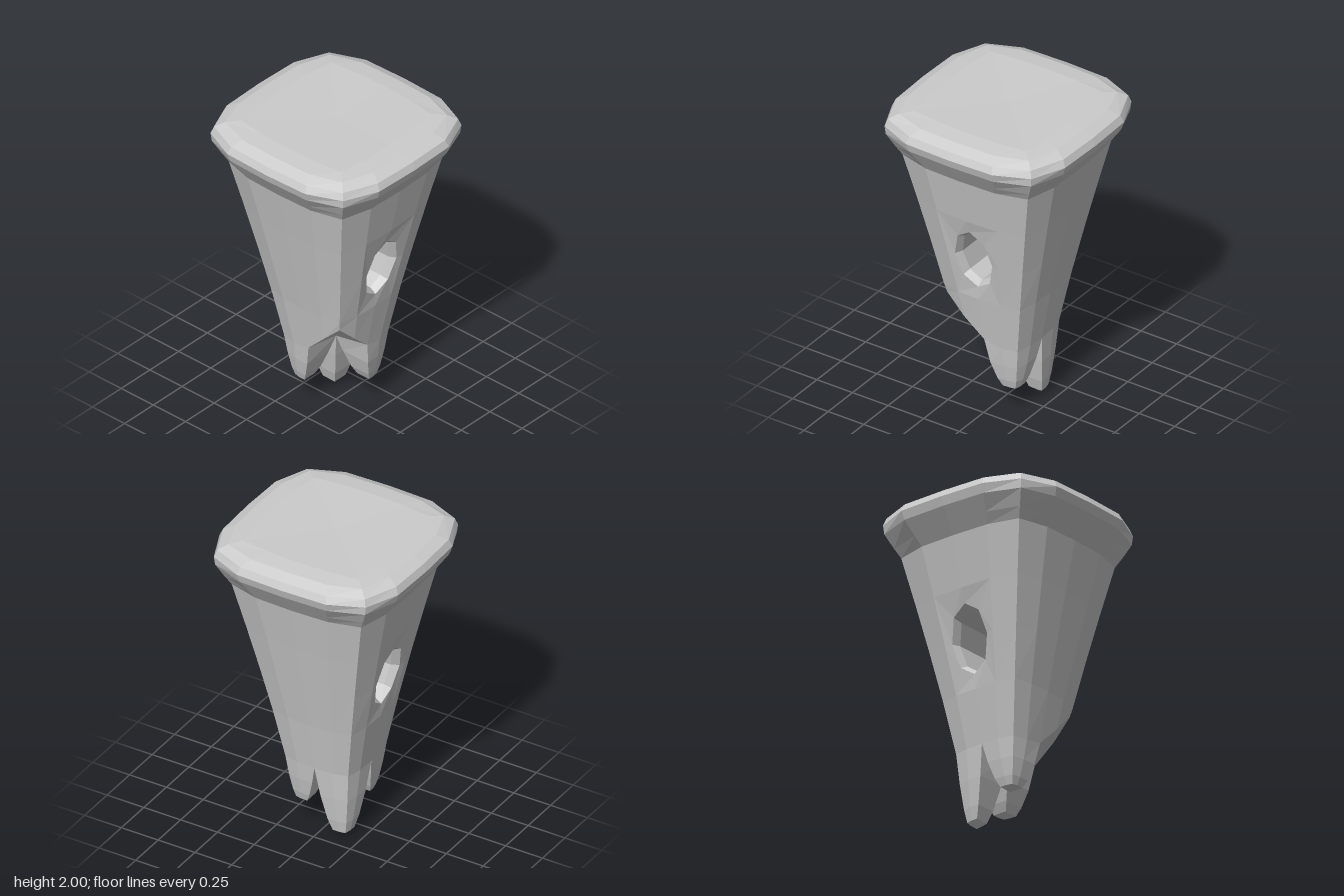
import * as THREE from 'three';

const V = (x, y, z) => new THREE.Vector3(x, y, z);

// Collects triangles and quads into one flat-shaded mesh
class Faces {
  constructor(name) { this.name = name; this.pts = []; }
  tri(a, b, c) { this.pts.push(a, b, c); }
  quad(a, b, c, d) { this.tri(a, b, c); this.tri(a, c, d); }
  // Wall between two closed loops, lower and upper, counterclockwise from above
  band(lo, hi, skip = []) {
    lo.forEach((p, i) => {
      const j = (i + 1) % lo.length;
      if (!skip.includes(i)) this.quad(p, lo[j], hi[j], hi[i]);
    });
  }
  mesh() {
    const g = new THREE.BufferGeometry().setFromPoints(this.pts);
    g.computeVertexNormals();
    const m = new THREE.Mesh(g, new THREE.MeshStandardMaterial({ color: 0xcccccc, flatShading: true }));
    m.name = this.name;
    return m;
  }
}

// Point i of 16 on a bulging square of half width w; 0 is front middle, then towards +x
function ringPoint(i, y, w, k) {
  const j = i % 4;
  let [x, z] = [[0, w], [0.49 * w, 0.985 * w], [k * w, k * w], [0.985 * w, 0.49 * w]][j];
  for (let q = 0; q < Math.floor(i / 4); q++) [x, z] = [z, -x];
  return V(x, y, z);
}
const ring = (y, w, k) => Array.from({ length: 16 }, (_, i) => ringPoint(i, y, w, k));

export function createModel() {
  const group = new THREE.Group();

  // Crown: rolled rim and nearly flat top
  const crown = new Faces('crown');
  const rim = [[1.71, 0.5, 0.88], [1.77, 0.54, 0.87], [1.86, 0.6, 0.85], [1.915, 0.617, 0.835],
    [1.96, 0.597, 0.84], [1.99, 0.53, 0.86], [2, 0.42, 0.93]].map(r => ring(...r));
  for (let r = 0; r < rim.length - 1; r++) crown.band(rim[r], rim[r + 1]);
  const top = rim[rim.length - 1];
  top.forEach((p, i) => crown.tri(V(0, 1.993, 0), p, top[(i + 1) % 16]));
  group.add(crown.mesh());

  // Body: tapering shaft with an uneven lower edge, higher at the corner without a root
  const body = new Faces('body');
  const rows = [ring(1.4, 0.43, 0.88), ring(1.1, 0.365, 0.88), ring(0.8, 0.3, 0.89)];
  const raised = { 0: [0.5, 0.245], 12: [0.49, 0.24], 13: [0.62, 0.265], 14: [0.74, 0.285], 15: [0.62, 0.265] };
  const base = Array.from({ length: 16 }, (_, i) => ringPoint(i, ...(raised[i] || [0.47, 0.24]), 0.89));
  const crotch = V(0, 0.45, 0);
  const holeCells = [15, 0, 7, 8];
  body.band(rows[0], rim[0]);
  body.band(rows[1], rows[0], holeCells);
  body.band(rows[2], rows[1], holeCells);
  body.band(base, rows[2]);
  for (let i = 12; i < 16; i++) body.tri(crotch, base[(i + 1) % 16], base[i]);

  // Oval hole: bevelled frame on the front and the back, joined by a tunnel
  const oval = (s, rx, ry, inset) => Array.from({ length: 8 }, (_, n) => {
    const a = Math.PI / 2 + n * Math.PI / 4;
    const y = 1.1 + ry * Math.sin(a);
    return V(s * rx * Math.cos(a), y, s * (0.3 + (y - 0.8) * 0.217 - inset));
  });
  const mouths = [[1, 0], [-1, 8]].map(([s, m]) => {
    const l = (m + 15) % 16, r = m + 1, [t, c, b] = rows;
    const loops = [[t[m], t[l], c[l], b[l], b[m], b[r], c[r], t[r]],
      oval(s, 0.13, 0.21, 0.012), oval(s, 0.108, 0.182, 0.06)];
    for (let k = 0; k < 2; k++) {
      for (let n = 0; n < 8; n++) {
        const j = (n + 1) % 8;
        body.quad(loops[k][n], loops[k][j], loops[k + 1][j], loops[k + 1][n]);
      }
    }
    return loops[2];
  });
  for (let n = 0; n < 8; n++) {
    const [f, b] = mouths, j = (n + 1) % 8;
    body.quad(f[n], f[j], b[(8 - j) % 8], b[(8 - n) % 8]);
  }
  group.add(body.mesh());

  // Roots: three pointed legs under the other corners
  [['frontLeftRoot', 1, 1, 0.155], ['backLeftRoot', 1, -1, 0], ['backRightRoot', -1, -1, 0.165]]
    .forEach(([name, sx, sz, tipY], q) => {
      const root = new Faces(name);
      const cx = sx * 0.14, cz = sz * 0.14;
      let upper = [0, 1, 2, 3, 4].map(j => base[4 * q + j]).concat(crotch);
      const section = upper;
      for (const [s, f] of [[0.8, 0.6], [0.56, 0.25], [0.38, 0.08]]) {
        const lower = section.map(p => V(cx + (p.x - cx) * s, tipY + (0.47 - tipY) * f, cz + (p.z - cz) * s));
        root.band(lower, upper);
        upper = lower;
      }
      const tip = V(cx * 0.92, tipY, cz * 0.92);
      upper.forEach((p, i) => root.tri(tip, upper[(i + 1) % 6], p));
      group.add(root.mesh());
    });

  return group;
}
